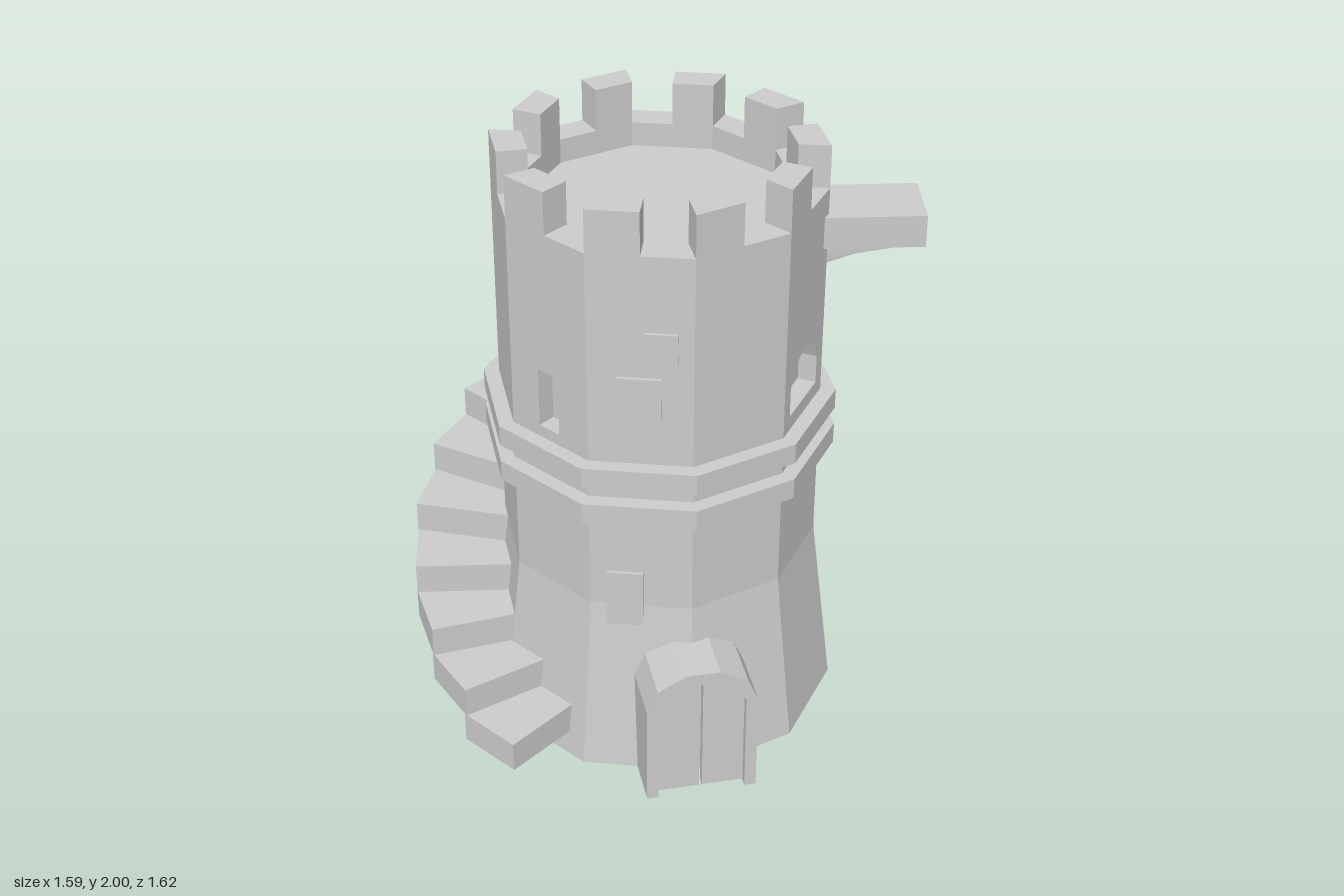
import * as THREE from 'three';

const SIDES = 10, STEP = (Math.PI * 2) / SIDES;
const R = 0.52;                               // wall corner radius
const APOTHEM = R * Math.cos(STEP / 2);       // wall face distance
const INNER = 0.42;                           // parapet inner radius
const RECESS = 0.06;                          // depth of the openings
const FLOOR = 1.78, RIM = 1.86, TOP = 2;
const rad = THREE.MathUtils.degToRad;

const material = new THREE.MeshStandardMaterial({ color: 0xcccccc, flatShading: true });

function mesh(name, geometry, parent) {
  const m = new THREE.Mesh(geometry, material);
  m.name = name;
  parent.add(m);
  return m;
}

// Group turned about the tower axis so that local +z points outward
function facing(name, degrees, parent) {
  const g = new THREE.Group();
  g.name = name;
  g.rotation.y = rad(degrees);
  parent.add(g);
  return g;
}

function drum(name, rTop, rBottom, y0, y1, parent) {
  const g = new THREE.CylinderGeometry(rTop, rBottom, y1 - y0, SIDES).translate(0, (y0 + y1) / 2, 0);
  return mesh(name, g, parent);
}

// Five-segment arch outline, anticlockwise from the bottom right
function archPoints(halfWidth, bottom, spring, rise) {
  const pts = [new THREE.Vector2(-halfWidth, bottom), new THREE.Vector2(halfWidth, bottom)];
  for (let i = 0; i <= 5; i++) {
    const a = (i / 5) * Math.PI;
    pts.push(new THREE.Vector2(halfWidth * Math.cos(a), spring + rise * Math.sin(a)));
  }
  return pts;
}

function rectPoints(x0, x1, y0, y1) {
  return [[x0, y0], [x1, y0], [x1, y1], [x0, y1]].map(([x, y]) => new THREE.Vector2(x, y));
}

function extrude(points, depth, z, hole) {
  const shape = new THREE.Shape(points);
  if (hole) shape.holes.push(new THREE.Path(hole));
  return new THREE.ExtrudeGeometry(shape, { depth, bevelEnabled: false }).translate(0, 0, z);
}

// Horizontal plan (x, -z) raised between two heights
function raise(points, y0, y1, hole) {
  return extrude(points, y1 - y0, 0, hole).rotateX(-Math.PI / 2).translate(0, y0, 0);
}

const plan = (r, a) => new THREE.Vector2(r * Math.sin(a), -r * Math.cos(a));
const ringPoints = (r) => Array.from({ length: SIDES }, (_, i) => plan(r, i * STEP));

function addWalls(tower) {
  drum('flaredBase', R, 0.595, 0, 0.61, tower);
  drum('lowerWall', R, R, 0.61, 1.1, tower);
  drum('lowerBand', 0.57, 0.57, 0.95, 1.02, tower);
  drum('upperBand', 0.57, 0.57, 1.08, 1.15, tower);
  drum('towerCore', (APOTHEM - RECESS) / Math.cos(STEP / 2), (APOTHEM - RECESS) / Math.cos(STEP / 2), 1.05, FLOOR, tower);

  // Upper wall, one panel per side, with recessed windows
  const arch = archPoints(0.112, 1.2, 1.295, 0.09);
  const openings = { 90: arch, 270: arch, 342: rectPoints(-0.044, 0.04, 1.19, 1.39) };
  const half = R * Math.sin(STEP / 2);
  for (let i = 0; i < SIDES; i++) {
    const degrees = 18 + 36 * i;
    const side = facing('upperWallSide', degrees, tower);
    mesh('wallPanel', extrude(rectPoints(-half, half, 1.1, FLOOR), RECESS, APOTHEM - RECESS, openings[degrees]), side);
  }
}

function addBattlements(tower) {
  mesh('parapet', raise(ringPoints(R), FLOOR, RIM, ringPoints(INNER)), tower);
  // Each merlon runs from a corner to the middle of a side
  const outerMid = APOTHEM, innerMid = INNER * Math.cos(STEP / 2);
  for (let i = 0; i < SIDES; i++) {
    const a = i * STEP, b = a + STEP / 2;
    mesh('merlon', raise([plan(R, a), plan(outerMid, b), plan(innerMid, b), plan(INNER, a)], RIM, TOP), tower);
  }
}

function addStairs(tower) {
  const stairs = new THREE.Group();
  stairs.name = 'spiralStairs';
  tower.add(stairs);
  const count = 16, rise = 0.1056, inner = 0.43, outer = 0.812;
  for (let i = 0; i < count; i++) {
    const g = new THREE.BoxGeometry(0.224, rise, outer - inner);
    g.translate(0, 0.085 + rise * (i + 0.5), (inner + outer) / 2);
    mesh('step', g, facing('stepPivot', -18 - 15 * i, stairs));
  }
}

function addDoor(tower) {
  const door = facing('doorway', 36, tower);
  const front = 0.695, back = 0.45;
  // Arched surround, open at the bottom
  const outline = archPoints(0.18, 0, 0.355, 0.137);
  const inside = archPoints(0.142, 0, 0.355, 0.094);
  const surround = [...outline.slice(1), outline[0], inside[0], ...inside.slice(1).reverse()];
  // Order: outer edge from right foot to left foot, then inner edge back
  surround.splice(outline.length, surround.length, inside[0], ...inside.slice(2).reverse(), inside[1]);
  mesh('doorSurround', extrude(surround, front - back, back), door);

  // Two leaves, each half of the arch
  const leaf = archPoints(0.14, 0.01, 0.355, 0.094);
  const gap = 0.005, crown = leaf[4].y;
  const right = [new THREE.Vector2(gap, 0.01), leaf[1], leaf[2], leaf[3], leaf[4], new THREE.Vector2(gap, crown)];
  const left = right.map((p) => new THREE.Vector2(-p.x, p.y)).reverse();
  mesh('rightLeaf', extrude(right, 0.03, front - 0.05), door);
  mesh('leftLeaf', extrude(left, 0.03, front - 0.05), door);
}

function addBricks(tower) {
  // side angle, x0, x1, y0, y1 on that side
  const bricks = [
    [18, -0.071, 0.065, 1.325, 1.455], [18, 0.013, 0.113, 1.515, 1.61], [18, -0.108, 0.007, 0.54, 0.74],
    [126, -0.1, 0.023, 0.78, 0.89], [126, 0.073, 0.147, 0.69, 0.82],
    [-90, -0.05, 0.07, 1.72, 1.79], [-90, -0.13, -0.01, 1.615, 1.695], [-90, -0.05, 0.05, 1.49, 1.565],
  ];
  for (const [deg, x0, x1, y0, y1] of bricks) {
    mesh('raisedBrick', extrude(rectPoints(x0, x1, y0, y1), 0.042, APOTHEM - 0.03), facing('brickSide', deg, tower));
  }
}

export function createModel() {
  const model = new THREE.Group();
  model.name = 'tower';
  const tower = new THREE.Group();
  tower.name = 'towerBody';
  tower.position.set(0.02, 0, 0.005);
  model.add(tower);
  addWalls(tower);
  addBattlements(tower);
  addStairs(tower);
  addDoor(tower);
  addBricks(tower);
  return model;
}
